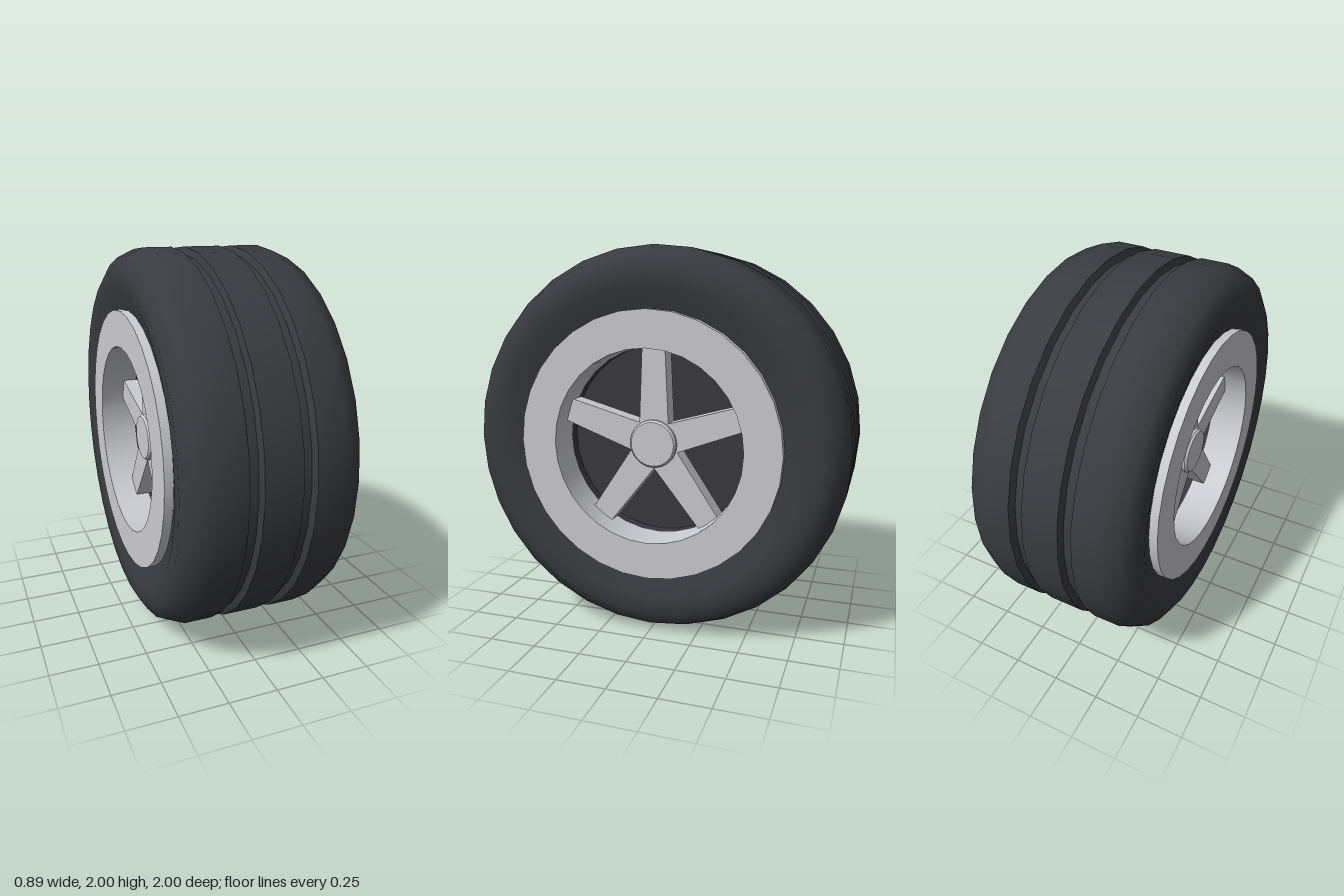
import * as THREE from 'three';
import { toCreasedNormals } from 'three/addons/utils/BufferGeometryUtils.js';

const SEGMENTS = 32;

const material = (name, color) => {
  const m = new THREE.MeshStandardMaterial({ color });
  m.name = name;
  return m;
};

// Revolves [radius, x] points around the axle (x axis), keeping sharp edges crisp
function revolve(points, crease = 0.8) {
  const profile = points.map(([r, x]) => new THREE.Vector2(r, x));
  const geometry = new THREE.LatheGeometry(profile, SEGMENTS);
  geometry.rotateZ(-Math.PI / 2);
  return toCreasedNormals(geometry, crease);
}

function addMesh(parent, name, geometry, mat) {
  const mesh = new THREE.Mesh(geometry, mat);
  mesh.name = name;
  parent.add(mesh);
  return mesh;
}

export function createModel() {
  const rubber = material('tyre rubber', 0x3a3b40);
  const dark = material('dark wheel interior', 0x3a383f);
  const metal = material('light rim metal', 0xcbccd1);

  const model = new THREE.Group();
  model.name = 'wheel';
  const wheel = new THREE.Group();
  wheel.name = 'wheelAssembly';
  wheel.position.y = 1;
  model.add(wheel);

  // Tyre: sidewall, rounded shoulder and two tread grooves, mirrored across the middle
  const half = [
    [0.66, 0.395], [0.70, 0.405], [0.80, 0.437], [0.885, 0.445], [0.96, 0.40], [1, 0.31],
    [1, 0.165], [0.967, 0.15], [0.967, 0.108], [1, 0.095],
  ];
  const tyreProfile = [
    ...half.map(([r, x]) => [r, -x]),
    ...half.slice().reverse(),
  ];
  addMesh(wheel, 'tyre', revolve(tyreProfile), rubber);

  // Spoke outline, slightly wider toward the hub
  const spokeShape = new THREE.Shape([
    new THREE.Vector2(-0.079, 0.08),
    new THREE.Vector2(0.079, 0.08),
    new THREE.Vector2(0.06, 0.53),
    new THREE.Vector2(-0.06, 0.53),
  ]);
  const spokeGeometry = new THREE.ExtrudeGeometry(spokeShape, { depth: 0.1, bevelEnabled: false });
  spokeGeometry.rotateY(Math.PI / 2);
  spokeGeometry.translate(0.22, 0, 0);

  const rimGeometry = revolve([
    [0.69, 0.3], [0.69, 0.447], [0.5, 0.447], [0.5, 0.25],
  ]);
  const backingGeometry = revolve([[0.5, 0.25], [0.5, 0.19], [0, 0.19]]);
  const hubGeometry = revolve([
    [0.125, 0.19], [0.125, 0.335], [0.115, 0.347], [0, 0.347],
  ], 0.5);

  // The same rim, spokes and hub on both sides
  for (const [side, turn] of [['left', 0], ['right', Math.PI]]) {
    const face = new THREE.Group();
    face.name = `${side}WheelFace`;
    face.rotation.y = turn;
    wheel.add(face);

    addMesh(face, 'rim', rimGeometry, metal);
    addMesh(face, 'backingDisc', backingGeometry, dark);
    addMesh(face, 'hubCap', hubGeometry, metal);
    for (let i = 0; i < 5; i++) {
      const spoke = addMesh(face, 'spoke', spokeGeometry, metal);
      spoke.rotation.x = (i * Math.PI * 2) / 5;
    }
  }

  return model;
}
